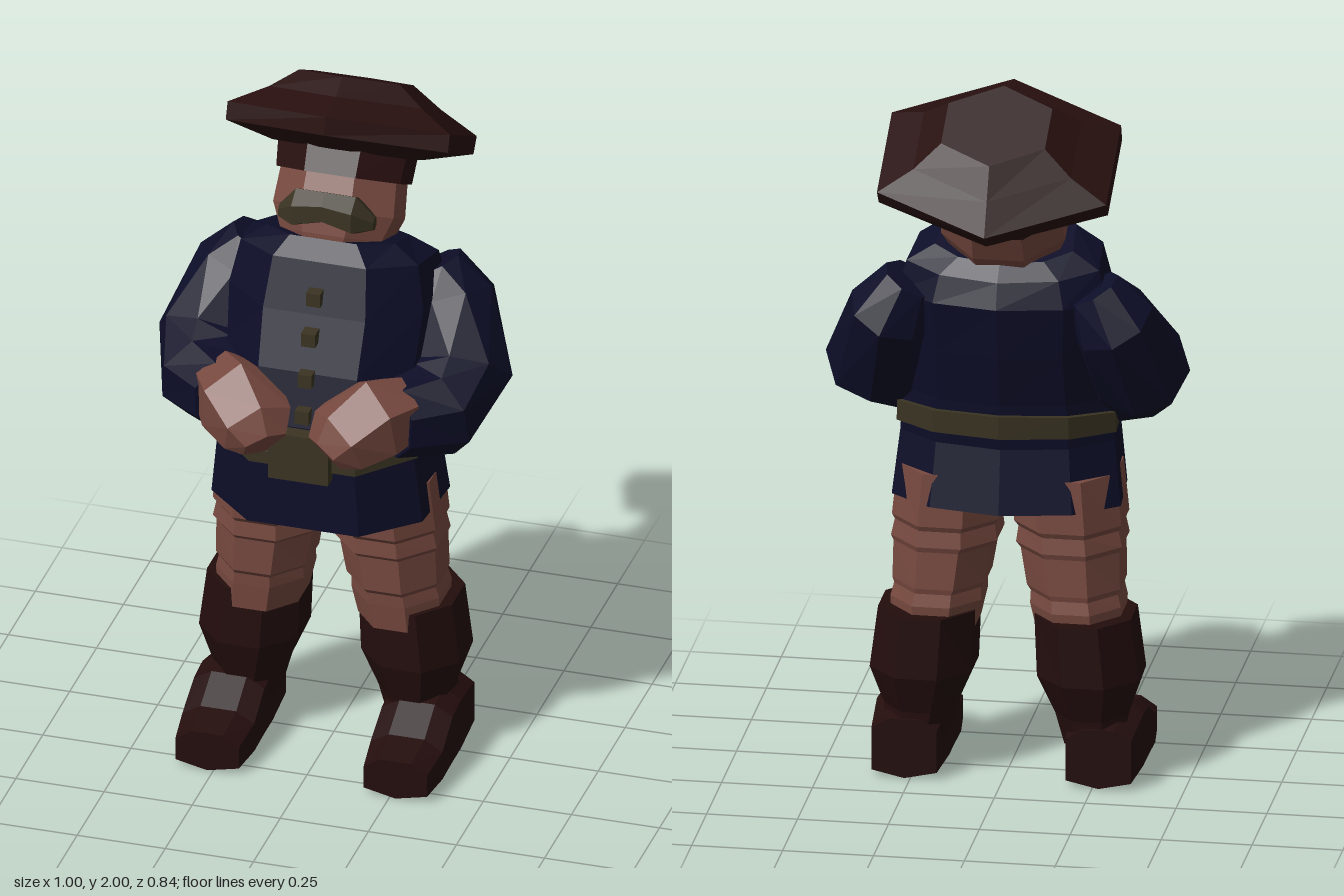
import * as THREE from 'three';

const mat = (name, color) => {
  const m = new THREE.MeshStandardMaterial({ color, flatShading: true });
  m.name = name;
  return m;
};
const V = (x, y, z) => new THREE.Vector3(x, y, z);

// Skin a list of equal-sized point rings, cap both ends, face outwards
function loft(name, rings, material) {
  const tris = [];
  const n = rings[0].length;
  for (let i = 0; i < rings.length - 1; i++) {
    for (let j = 0; j < n; j++) {
      const k = (j + 1) % n;
      const a = rings[i][j], b = rings[i][k], c = rings[i + 1][k], d = rings[i + 1][j];
      tris.push([a, b, c], [a, c, d]);
    }
  }
  const mid = r => r.reduce((s, p) => s.add(p), V(0, 0, 0)).divideScalar(n);
  const first = rings[0], last = rings[rings.length - 1];
  const c0 = mid(first), c1 = mid(last);
  for (let j = 0; j < n; j++) {
    const k = (j + 1) % n;
    tris.push([c0, first[k], first[j]], [c1, last[j], last[k]]);
  }
  const volume = tris.reduce((s, [a, b, c]) => s + a.dot(b.clone().cross(c)), 0);
  const points = tris.flatMap(t => (volume < 0 ? [t[0], t[2], t[1]] : t));
  const geo = new THREE.BufferGeometry().setFromPoints(points);
  geo.computeVertexNormals();
  const mesh = new THREE.Mesh(geo, material);
  mesh.name = name;
  return mesh;
}

// Horizontal polygon ring with a point or flat towards the front
function ring(n, y, rx, rz, cx = 0, cz = 0, turn = 0) {
  return Array.from({ length: n }, (_, i) => {
    const a = (i / n) * Math.PI * 2 + turn;
    return V(cx + Math.sin(a) * rx, y, cz + Math.cos(a) * rz);
  });
}

// Rings set square to a path; each stop is [x, y, z, width, height]
function pathRings(stops, n, side) {
  return stops.map((s, i) => {
    const a = stops[Math.max(i - 1, 0)], b = stops[Math.min(i + 1, stops.length - 1)];
    const t = V(b[0] - a[0], b[1] - a[1], b[2] - a[2]).normalize();
    const w = V(0.87, 0, 0.48);
    w.addScaledVector(t, -w.dot(t)).normalize();
    const h = t.clone().cross(w);
    return Array.from({ length: n }, (_, j) => {
      const q = ((j + 0.5) / n) * Math.PI * 2;
      const p = V(s[0], s[1], s[2]).addScaledVector(w, Math.cos(q) * s[3]).addScaledVector(h, Math.sin(q) * s[4]);
      p.x *= side;
      return p;
    });
  });
}

// Coat outline: broad flat front, straight sides, pointed back
function coatRing(y, w, front, back, tilt = 0) {
  const half = [[0.5, 1], [0.95, 0.72], [1, 0.28], [0.62, 0.08]];
  const at = (x, f) => {
    const z = back + (front - back) * f;
    return V(x * w, y + tilt * z, z);
  };
  return [...half.map(([x, f]) => at(x, f)), at(0, 0), ...half.slice().reverse().map(([x, f]) => at(-x, f))];
}

export function createModel() {
  const skin = mat('skin', 0x784a40);
  const navy = mat('navy cloth', 0x0d0e28);
  const hatRed = mat('hat brown', 0x280f0f);
  const leather = mat('boot leather', 0x240d0d);
  const olive = mat('olive trim', 0x3b3423);
  const model = new THREE.Group();
  model.name = 'figure';

  // Coat
  model.add(loft('coat', [
    coatRing(0.79, 0.315, 0.29, -0.18),
    coatRing(0.97, 0.295, 0.29, -0.15),
    coatRing(1.1, 0.285, 0.285, -0.165),
    coatRing(1.25, 0.28, 0.245, -0.2),
    coatRing(1.4, 0.29, 0.185, -0.225),
    coatRing(1.51, 0.265, 0.135, -0.2, 0.2),
    coatRing(1.56, 0.19, 0.1, -0.16, 0.3),
  ], navy));

  // Belt, buckle and buttons
  model.add(loft('belt', [
    coatRing(1.0, 0.302, 0.3, -0.18, -0.06),
    coatRing(1.055, 0.3, 0.3, -0.185, -0.12),
  ], olive));
  const box = (name, w, h, d, x, y, z) => {
    const m = new THREE.Mesh(new THREE.BoxGeometry(w, h, d), olive);
    m.name = name;
    m.position.set(x, y, z);
    model.add(m);
  };
  box('buckle', 0.17, 0.14, 0.045, 0, 1.03, 0.312);
  for (const [y, z] of [[1.45, 0.175], [1.35, 0.222], [1.24, 0.255], [1.14, 0.28]]) {
    box('button', 0.04, 0.04, 0.04, 0, y, z);
  }

  // Arms, hands, legs and boots on both sides
  for (const side of [1, -1]) {
    const label = side > 0 ? 'left' : 'right';
    model.add(loft(label + 'Sleeve', pathRings([
      [0.25, 1.44, -0.12, 0.08, 0.08],
      [0.3, 1.35, -0.11, 0.12, 0.13],
      [0.36, 1.18, -0.01, 0.14, 0.15],
      [0.32, 1.12, 0.11, 0.14, 0.14],
      [0.225, 1.13, 0.21, 0.12, 0.11],
    ], 8, side), navy));
    model.add(loft(label + 'Hand', pathRings([
      [0.25, 1.15, 0.19, 0.1, 0.1],
      [0.19, 1.15, 0.26, 0.125, 0.125],
      [0.115, 1.11, 0.335, 0.11, 0.095],
      [0.085, 1.08, 0.365, 0.07, 0.05],
    ], 6, side), skin));

    // Trouser leg with stepped folds
    const leg = [[0.88, 0.16, 0.14, 0.03, 0.165], [0.73, 0.168, 0.148, 0.025, 0.165],
      [0.715, 0.17, 0.138, 0.022, 0.155], [0.67, 0.172, 0.146, 0.02, 0.16],
      [0.655, 0.175, 0.136, 0.015, 0.15], [0.55, 0.185, 0.128, 0.01, 0.15],
      [0.535, 0.188, 0.12, 0.005, 0.142], [0.5, 0.192, 0.125, 0, 0.145], [0.42, 0.2, 0.115, 0, 0.135]];
    model.add(loft(label + 'Leg', leg.map(([y, x, w, z, d]) =>
      ring(8, y, w * 1.08, d * 1.06, x * side, z, Math.PI / 8)), skin));

    // Boot shaft
    const shaft = [[0.475, 0.215, 0.135, -0.02, 0.153], [0.3, 0.23, 0.143, -0.02, 0.155],
      [0.19, 0.235, 0.1, -0.015, 0.12], [0.1, 0.25, 0.09, -0.015, 0.115]];
    model.add(loft(label + 'BootShaft', shaft.map(([y, x, w, z, d]) =>
      ring(8, y, w * 1.06, d * 1.06, x * side, z, Math.PI / 8)), leather));

    // Boot foot, sectioned from heel to toe
    const foot = [[-0.135, 0.09, 0.17], [0.02, 0.1, 0.2], [0.1, 0.1, 0.19], [0.2, 0.102, 0.135], [0.305, 0.09, 0.115]];
    model.add(loft(label + 'BootFoot', foot.map(([z, w, h]) =>
      [[0, 0], [w, 0.02], [w, h - 0.03], [w * 0.5, h], [-w * 0.5, h], [-w, h - 0.03], [-w, 0.02]]
        .map(([x, y]) => V(side * 0.267 + x, y, z))), leather));
  }

  // Head and hat lean back together
  const head = new THREE.Group();
  head.name = 'headAndHat';
  head.position.set(0, 1.82, -0.17);
  head.rotation.x = -0.51;
  model.add(head);
  const t = Math.PI / 8;
  head.add(loft('head', [
    ring(8, -0.12, 0.175, 0.155, 0, 0, t),
    ring(8, -0.25, 0.185, 0.16, 0, 0, t),
    ring(8, -0.32, 0.155, 0.145, 0, -0.005, t),
    ring(8, -0.42, 0.1, 0.1, 0, -0.01, t),
  ], skin));
  head.add(loft('hatBand', [
    ring(8, -0.155, 0.19, 0.166, 0, 0, t),
    ring(8, -0.04, 0.2, 0.16, 0, 0, t),
  ], hatRed));
  head.add(loft('hat', [
    ring(6, -0.085, 0.22, 0.17),
    ring(6, -0.05, 0.364, 0.272),
    ring(6, 0, 0.364, 0.287),
    ring(6, 0.057, 0.25, 0.205),
    ring(6, 0.113, 0.165, 0.145, 0, 0.02),
  ], hatRed));

  // Moustache swept from side to side
  const tache = [[-0.135, -0.27, 0.115, 0.018], [-0.085, -0.255, 0.14, 0.052], [0, -0.245, 0.155, 0.042],
    [0.085, -0.255, 0.14, 0.052], [0.135, -0.27, 0.115, 0.018]];
  head.add(loft('moustache', tache.map(([x, y, z, r]) =>
    Array.from({ length: 6 }, (_, i) => V(x, y + Math.sin(i * Math.PI / 3) * r * 1.1, z + Math.cos(i * Math.PI / 3) * r))), olive));

  return model;
}
